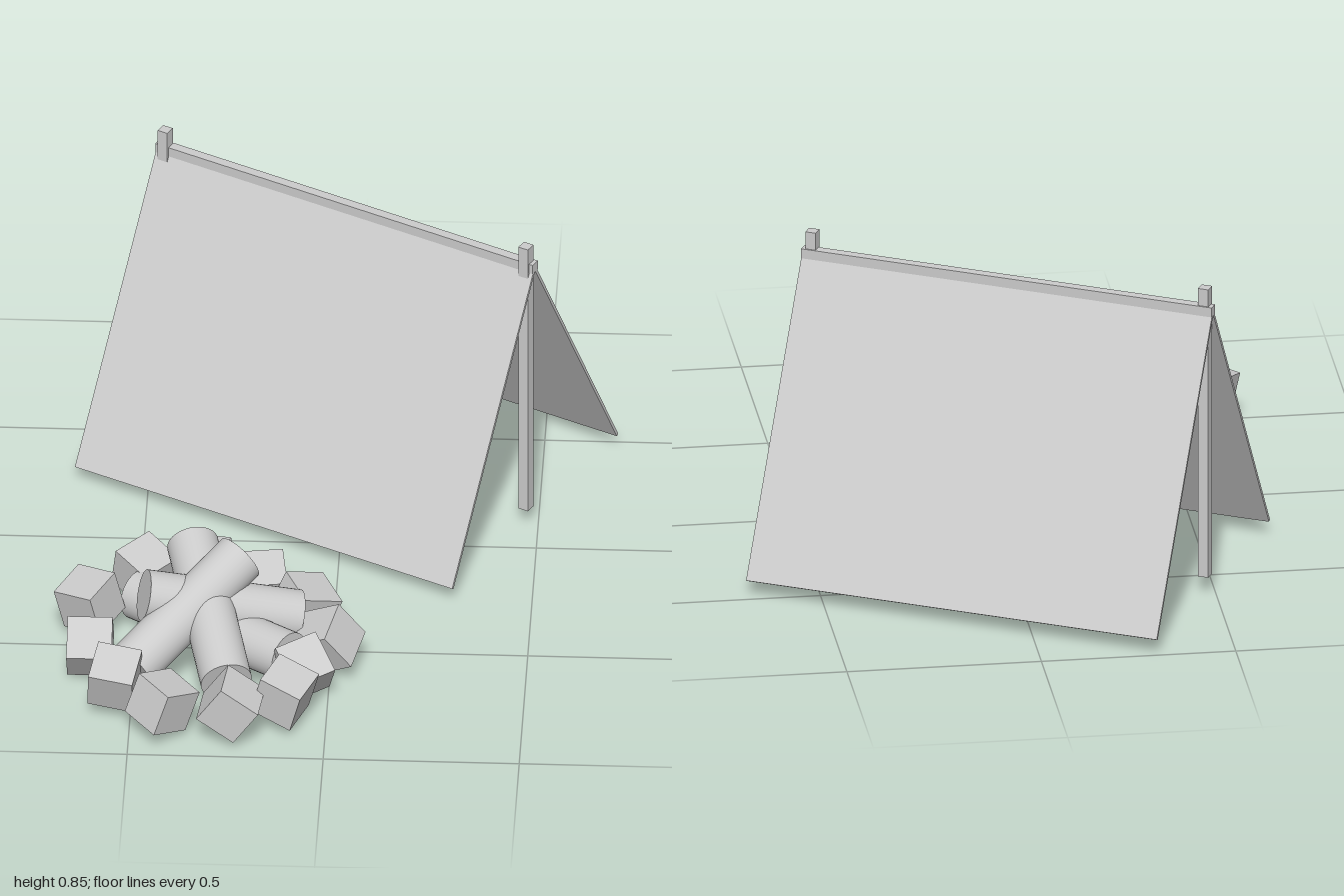
import * as THREE from 'three';

const grey = new THREE.MeshStandardMaterial({ color: 0xcccccc });

function addMesh(parent, name, geometry, position = [0, 0, 0], rotation = [0, 0, 0]) {
  const mesh = new THREE.Mesh(geometry, grey);
  mesh.name = name;
  mesh.position.set(...position);
  mesh.rotation.set(...rotation, 'YXZ');
  parent.add(mesh);
  return mesh;
}

// Ridge tent: two thin sloping sheets over a beam carried by two posts
function createTent() {
  const tent = new THREE.Group();
  tent.name = 'tent';
  const ridgeY = 0.79, footY = 0.046, halfWidth = 0.414, length = 1.115;
  const rise = ridgeY - footY;
  const slope = Math.hypot(rise, halfWidth);
  for (const side of [1, -1]) {
    addMesh(tent, side > 0 ? 'frontSheet' : 'backSheet',
      new THREE.BoxGeometry(length, slope, 0.008),
      [0, (ridgeY + footY) / 2, side * halfWidth / 2],
      [-side * Math.atan2(halfWidth, rise), 0, 0]);
    addMesh(tent, side > 0 ? 'leftPost' : 'rightPost',
      new THREE.BoxGeometry(0.028, 0.797, 0.028), [side * 0.533, 0.4535, 0.005]);
  }
  addMesh(tent, 'ridgeBeam', new THREE.BoxGeometry(length, 0.026, 0.026), [0, 0.792, 0]);
  tent.position.set(0, 0, -0.368);
  tent.rotation.y = -0.488;
  return tent;
}

// Round log between two end points
function addLog(parent, from, to, radius = 0.066) {
  const a = new THREE.Vector3(...from), b = new THREE.Vector3(...to);
  const axis = b.clone().sub(a);
  const log = addMesh(parent, 'log', new THREE.CylinderGeometry(radius, radius, axis.length(), 32));
  log.position.copy(a).add(b).multiplyScalar(0.5);
  log.quaternion.setFromUnitVectors(new THREE.Vector3(0, 1, 0), axis.normalize());
}

// Fire pit: stacked logs inside a ring of tumbled cube stones
function createFirePit() {
  const pit = new THREE.Group();
  pit.name = 'firePit';
  addLog(pit, [-0.50, 0.075, 0.36], [-0.10, 0.11, 0.69]);
  addLog(pit, [-0.50, 0.10, 0.735], [-0.235, 0.27, 0.475]);
  addLog(pit, [-0.36, 0.245, 0.38], [-0.255, 0.11, 0.81]);
  addLog(pit, [-0.475, 0.22, 0.585], [-0.085, 0.12, 0.51]);

  // Each stone: x, y, z, yaw, pitch, roll
  const stones = [
    [-0.33, 0.10, 0.265, -0.43, 0.10, 0.20],
    [-0.485, 0.10, 0.285, 0.80, 0.25, 0.10],
    [-0.185, 0.10, 0.33, 0.15, 0.30, 0.00],
    [-0.07, 0.10, 0.425, 0.50, 0.20, -0.35],
    [-0.005, 0.10, 0.587, -0.30, 0.35, 0.55],
    [-0.065, 0.10, 0.72, 0.60, 0.60, 0.20],
    [-0.105, 0.105, 0.845, -0.40, 0.10, -0.30],
    [-0.24, 0.105, 0.905, -0.12, 0.05, -0.60],
    [-0.415, 0.10, 0.895, 0.75, 0.15, -0.30],
    [-0.54, 0.11, 0.80, -0.20, 0.35, -0.10],
    [-0.61, 0.10, 0.645, 0.00, 0.62, 0.00],
    [-0.62, 0.11, 0.445, -0.55, 0.20, 0.15],
  ];
  const cube = new THREE.BoxGeometry(0.115, 0.115, 0.115);
  for (const [x, y, z, yaw, pitch, roll] of stones) {
    addMesh(pit, 'stone', cube, [x, y, z], [pitch, yaw, roll]);
  }
  return pit;
}

export function createModel() {
  const model = new THREE.Group();
  model.name = 'campsite';
  model.add(createTent(), createFirePit());
  return model;
}
